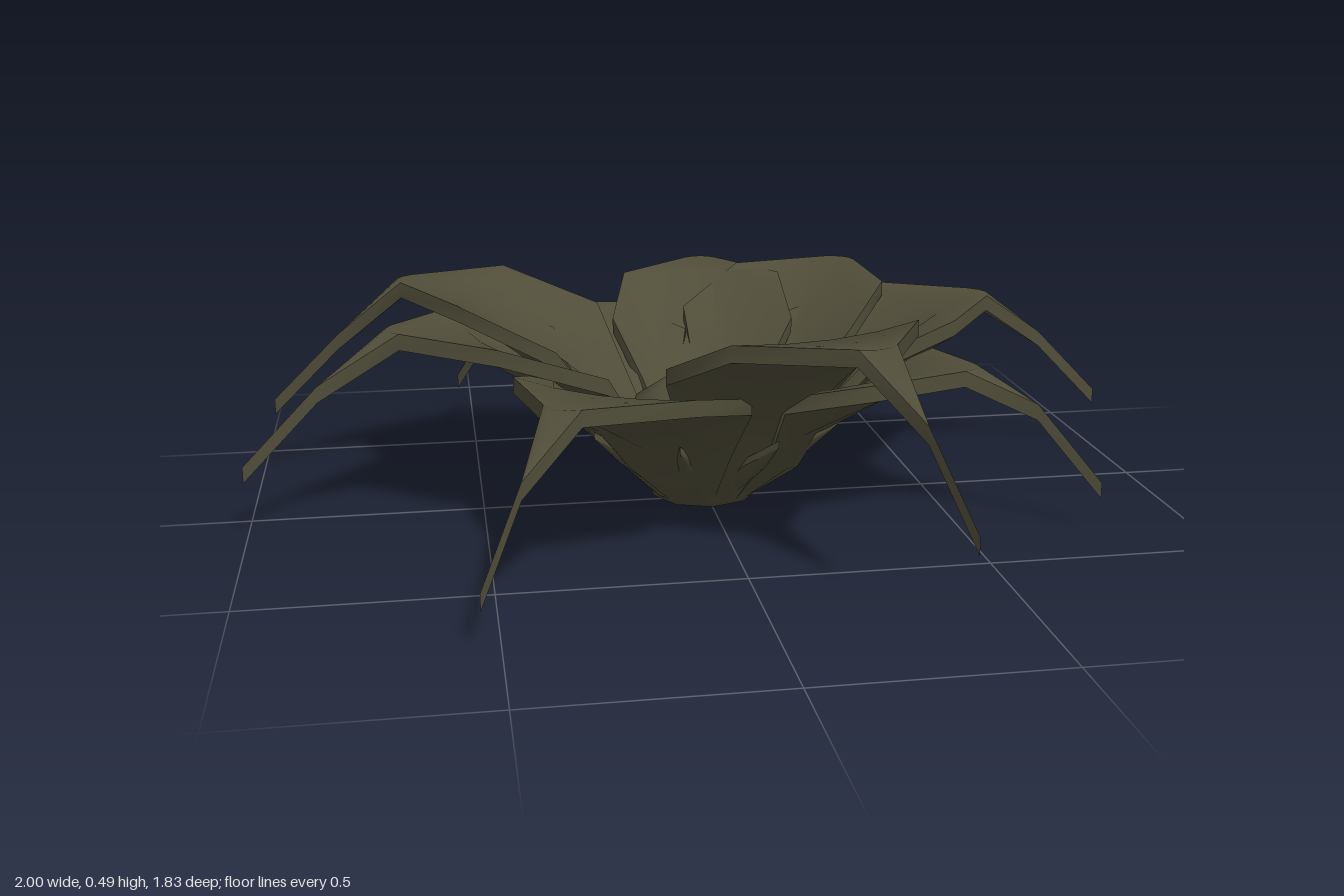
import * as THREE from 'three';

const olive = new THREE.MeshStandardMaterial({ color: 0x504d39 });
olive.name = 'dark olive';

// Joins rows of points into a smooth sheet, facing the side given by row x column order
function sheet(rows, pos, idx) {
  const start = pos.length / 3, n = rows[0].length;
  rows.forEach(row => row.forEach(p => pos.push(...p)));
  for (let i = 0; i < rows.length - 1; i++) {
    for (let j = 0; j < n - 1; j++) {
      const a = start + i * n + j, b = a + 1, c = a + n, d = c + 1;
      idx.push(a, b, c, b, d, c);
    }
  }
}

// Closed curved blade growing along +x; each section is [radius, height, halfWidth, edgeLift]
function blade(name, sections, thickness) {
  const across = [-1, -0.5, 0, 0.5, 1];
  const top = sections.map(([r, y, half, lift]) =>
    across.map(u => [r - 0.02 * u * u * Math.sign(half), y + lift * u * u, u * half]));
  const under = top.map(row => row.map(([x, y, z]) => [x, Math.max(0, y - thickness), z]));
  const last = across.length - 1;
  const pos = [], idx = [];
  sheet(top, pos, idx);
  sheet(under.map(row => [...row].reverse()), pos, idx);
  sheet(top.map((row, i) => [row[last], under[i][last]]), pos, idx);
  sheet(top.map((row, i) => [under[i][0], row[0]]), pos, idx);
  const geo = new THREE.BufferGeometry();
  geo.setAttribute('position', new THREE.Float32BufferAttribute(pos, 3));
  geo.setIndex(idx);
  geo.computeVertexNormals();
  const mesh = new THREE.Mesh(geo, olive);
  mesh.name = name;
  return mesh;
}

export function createModel() {
  const flower = new THREE.Group();
  flower.name = 'flower';
  const heart = new THREE.Group();
  heart.name = 'blossom';
  heart.position.z = -0.045;
  flower.add(heart);

  // Petals: x and z where the thin spine starts, crest height, height of the drooping tip
  const petals = [
    [0.11, -0.78, 0.42, 0.16],
    [0.53, -0.64, 0.43, 0.16],
    [0.84, -0.20, 0.41, 0.12],
    [0.66, 0.30, 0.34, 0.09],
    [0.28, 0.76, 0.49, 0.20],
    [-0.45, 0.63, 0.37, 0.09],
    [-0.84, 0.09, 0.43, 0.14],
    [-0.81, -0.28, 0.475, 0.16],
    [-0.45, -0.59, 0.35, 0.10],
  ];
  petals.forEach(([x, z, crest, tip]) => {
    const dz = z - heart.position.z;
    const R = Math.hypot(x, dz);
    const petal = blade('petal', [
      [0.11, 0.02, 0.06, 0.01],
      [0.22, crest * 0.33, 0.19 * R, 0.07],
      [0.36 * R, crest * 0.58, 0.285 * R, 0.10],
      [0.62 * R, crest * 0.96, 0.255 * R, 0.01],
      [0.825 * R, crest, 0.052 * R, 0],
      [R, tip + 0.18, 0, 0],
      [1.19 * R, tip + 0.02, 0, 0],
    ], 0.035);
    petal.rotation.y = -Math.atan2(dz, x);
    heart.add(petal);
  });

  // Narrow sepals below the cup
  for (let i = 0; i < 9; i++) {
    const sepal = blade('sepal', [
      [0.05, 0.02, 0.02, 0],
      [0.15, 0.06, 0.035, 0.01],
      [0.24, 0.13, 0.03, 0.01],
      [0.31, 0.20, 0, 0],
    ], 0.015);
    sepal.rotation.y = 0.2 + i * Math.PI * 2 / 9;
    heart.add(sepal);
  }
  const lowSepal = blade('lowSepal', [
    [0.05, 0.02, 0.02, 0],
    [0.2, 0.07, 0.04, 0.01],
    [0.3, 0.10, 0.03, 0],
    [0.37, 0.10, 0, 0],
  ], 0.015);
  lowSepal.rotation.y = 0.76;
  heart.add(lowSepal);

  // Closed bud in the middle
  const profile = [[0, 0], [0.12, 0], [0.14, 0.05], [0.18, 0.15], [0.165, 0.21], [0.09, 0.26], [0, 0.275]];
  const bud = new THREE.Mesh(
    new THREE.LatheGeometry(profile.map(p => new THREE.Vector2(...p)), 9), olive);
  bud.name = 'bud';
  heart.add(bud);

  return flower;
}
